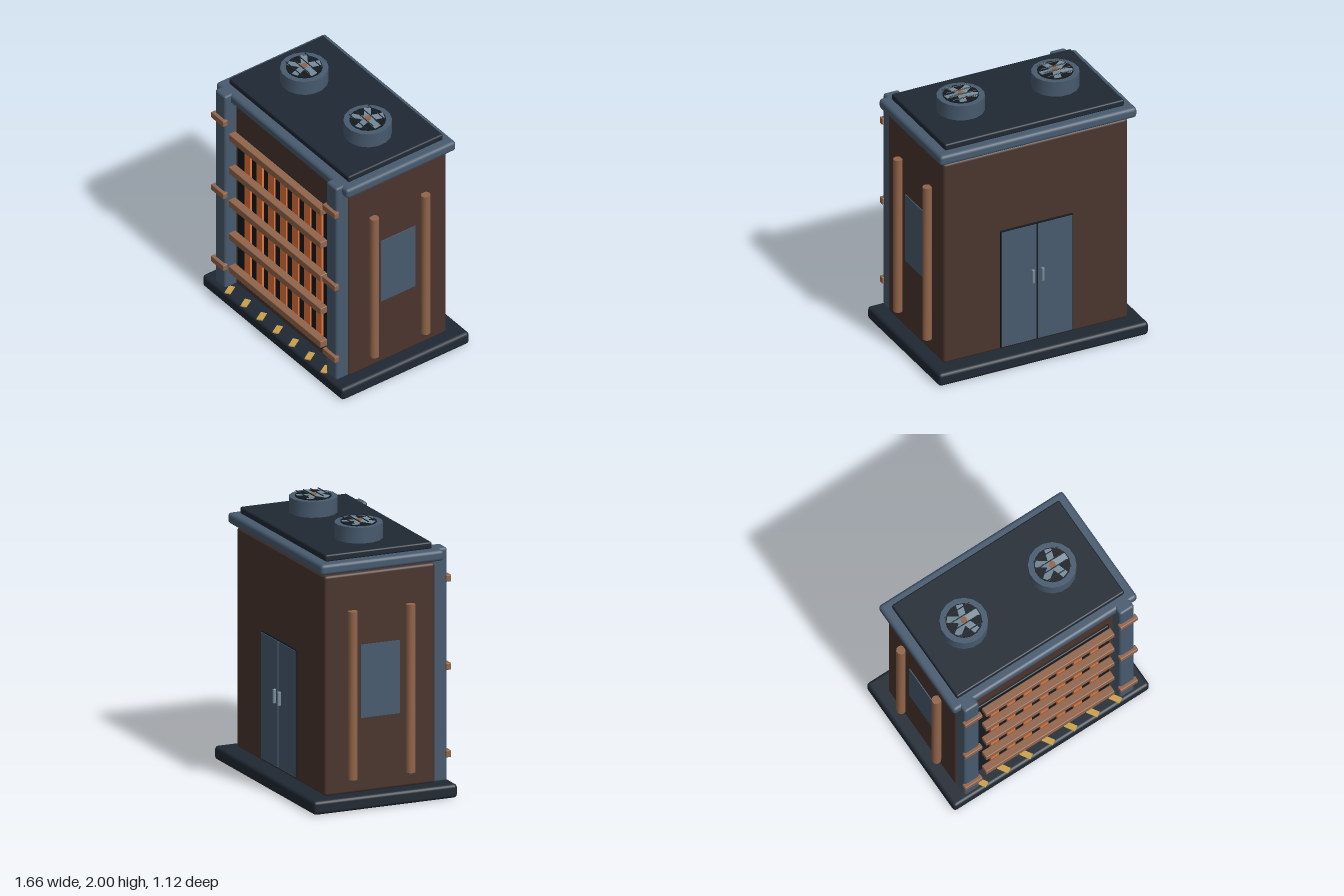
import * as THREE from 'three';
import { RoundedBoxGeometry } from 'three/addons/geometries/RoundedBoxGeometry.js';
import { toCreasedNormals } from 'three/addons/utils/BufferGeometryUtils.js';

const mat = (color) => new THREE.MeshStandardMaterial({ color });
const brown = mat(0x4a342e), steel = mat(0x475a6e), dark = mat(0x1f2833), black = mat(0x131a1e);
const wood = mat(0x91644a), orange = mat(0xe5733a), yellow = mat(0xc9a04a), blade = mat(0x748a98);

function add(parent, name, geometry, material, x, y, z) {
  const mesh = new THREE.Mesh(geometry, material);
  mesh.name = name;
  mesh.position.set(x, y, z);
  parent.add(mesh);
  return mesh;
}

// Box given by its extents on each axis; r rounds the edges
function box(parent, name, material, [x0, x1], [y0, y1], [z0, z1], r = 0) {
  const size = [x1 - x0, y1 - y0, z1 - z0];
  const geometry = r ? new RoundedBoxGeometry(...size, 2, r) : new THREE.BoxGeometry(...size);
  return add(parent, name, geometry, material, (x0 + x1) / 2, (y0 + y1) / 2, (z0 + z1) / 2);
}

function cylinder(radius, height, sides) {
  return toCreasedNormals(new THREE.CylinderGeometry(radius, radius, height, sides), 0.6);
}

function createFan(x) {
  const fan = new THREE.Group();
  fan.name = 'roofFan';
  fan.position.set(x, 1.86, 0);
  add(fan, 'fanHousing', cylinder(0.172, 0.115, 16), steel, 0, 0.0575, 0).rotation.y = Math.PI / 16;
  add(fan, 'fanWell', cylinder(0.13, 0.02, 16), black, 0, 0.111, 0).rotation.y = Math.PI / 16;
  add(fan, 'fanHub', cylinder(0.024, 0.02, 10), wood, 0, 0.124, 0);
  // Five pitched blades around the hub
  for (let i = 0; i < 5; i++) {
    const pivot = new THREE.Group();
    pivot.name = 'fanBladePivot';
    pivot.rotation.y = (i * Math.PI * 2) / 5;
    add(pivot, 'fanBlade', new THREE.BoxGeometry(0.1, 0.005, 0.05), blade, 0.07, 0.124, 0).rotation.x = 0.15;
    fan.add(pivot);
  }
  // Guard wires
  for (let i = 0; i < 4; i++) {
    const wire = add(fan, 'fanGuardWire', cylinder(0.004, 0.21, 6), dark, 0, 0.136, (i - 1.5) * 0.057);
    wire.rotation.z = Math.PI / 2;
  }
  return fan;
}

export function createModel() {
  const model = new THREE.Group();
  model.name = 'coolingCabinet';

  // Main masses
  box(model, 'base', dark, [-0.83, 0.83], [0, 0.1], [-0.56, 0.56], 0.025);
  box(model, 'body', brown, [-0.73, 0.73], [0.1, 1.71], [-0.43, 0.43], 0.02);
  box(model, 'roofTrim', steel, [-0.78, 0.78], [1.73, 1.81], [-0.48, 0.48], 0.025);
  box(model, 'roofSlab', dark, [-0.71, 0.71], [1.81, 1.86], [-0.415, 0.415], 0.012);

  // Front grille: dark recess, upright glowing slats, crossbars
  box(model, 'grillePanel', black, [-0.56, 0.56], [0.165, 1.465], [0.4, 0.45], 0.01);
  for (let i = -3; i <= 3; i++) {
    const x = i * 0.141;
    box(model, 'grilleSlat', orange, [x - 0.034, x + 0.034], [0.255, 1.395], [0.44, 0.465]);
  }
  for (let i = 0; i < 5; i++) {
    const y = 0.315 + i * 0.295;
    box(model, 'grilleCrossbar', wood, [-0.545, 0.545], [y - 0.029, y + 0.029], [0.48, 0.54], 0.006);
  }

  // Warning marks along the front of the base
  for (let i = -3; i <= 3; i++) {
    const mark = new THREE.BoxGeometry(0.045, 0.01, 0.085);
    add(model, 'warningMark', mark, yellow, i * 0.189, 0.102, 0.512).rotation.y = 0.55;
  }

  for (const s of [-1, 1]) {
    // Corner posts with clamps
    const span = (a, b) => (s > 0 ? [a, b] : [-b, -a]);
    box(model, 'cornerPost', steel, span(0.597, 0.72), [0.1, 1.81], [0.41, 0.53], 0.018);
    for (const y of [0.3, 0.94, 1.585]) {
      box(model, 'postClamp', wood, span(0.585, 0.733), [y - 0.025, y + 0.025], [0.515, 0.555], 0.006);
    }

    // Side panel between two pipes
    box(model, 'sidePanel', steel, span(0.7, 0.737), [0.645, 1.18], [-0.153, 0.153]);
    for (const z of [-0.225, 0.225]) {
      add(model, 'sidePipe', cylinder(0.034, 1.23, 12), wood, s * 0.757, 0.825, z);
    }

    // Rear double door
    box(model, 'door', steel, span(0.007, 0.28), [0.13, 1.055], [-0.452, -0.42]);
    box(model, 'doorHandle', blade, span(0.028, 0.048), [0.595, 0.7], [-0.475, -0.45], 0.005);

    model.add(createFan(s * 0.375));
  }
  box(model, 'doorFrame', black, [-0.286, 0.286], [0.123, 1.062], [-0.446, -0.42]);

  return model;
}
